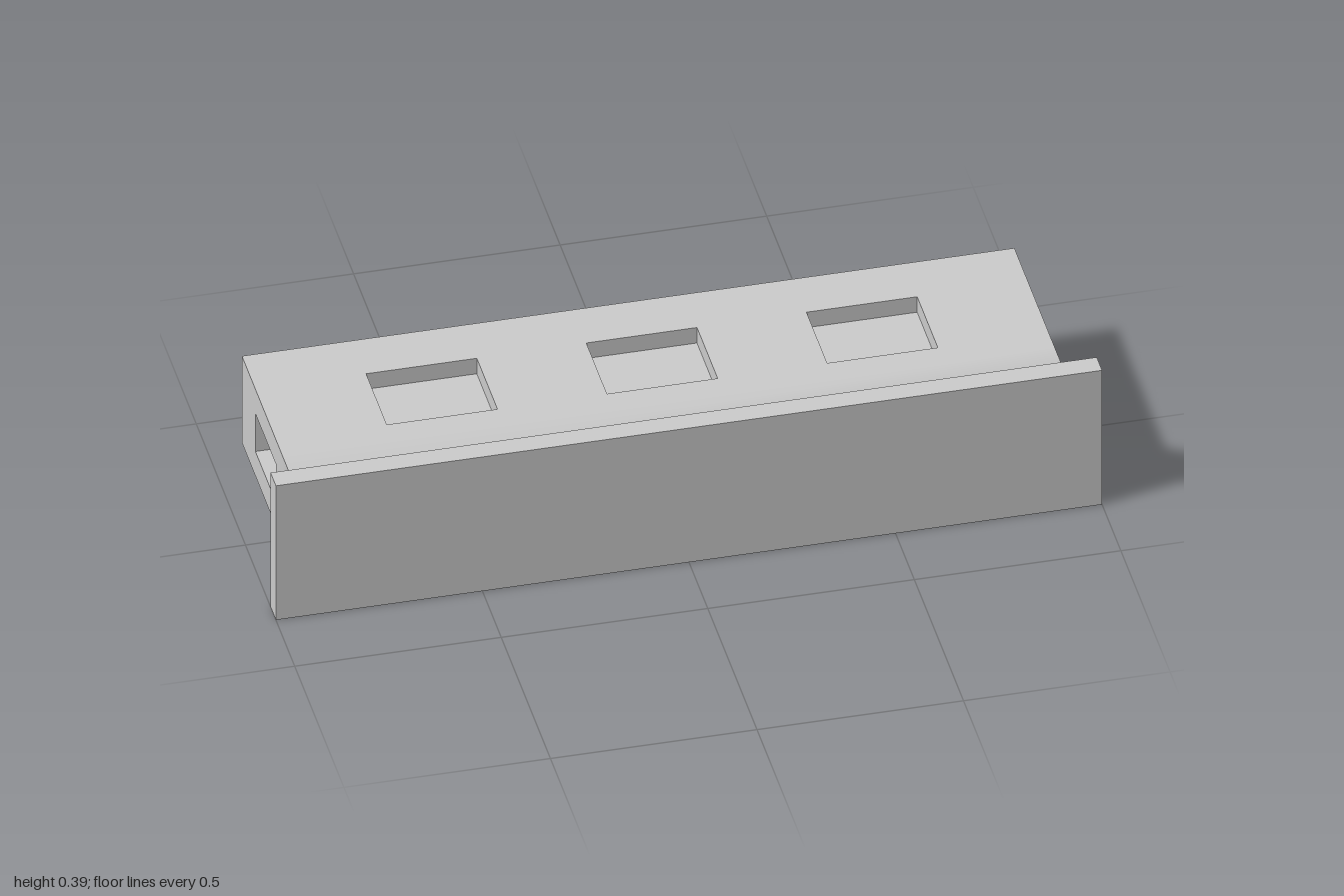
import * as THREE from 'three';
import { mergeGeometries, toCreasedNormals } from 'three/addons/utils/BufferGeometryUtils.js';

const MID_Y = 0.195;               // mid height of the whole piece
const HALF_W = 0.935, HALF_H = 0.126;
const BACK = -0.309, JOIN = 0.1;   // z range of the recessed box section
const LEN = JOIN - BACK, MID_Z = (JOIN + BACK) / 2;
const DEPTH = 0.045;               // recess depth

// Flat panel facing +z with rectangular recesses [u, v, width, height]
function recessedPanel(w, h, recesses) {
  const rect = (path, u, v, a, b) => path
    .moveTo(u - a / 2, v - b / 2).lineTo(u + a / 2, v - b / 2)
    .lineTo(u + a / 2, v + b / 2).lineTo(u - a / 2, v + b / 2).closePath();
  const shape = rect(new THREE.Shape(), 0, 0, w, h);
  const parts = [];
  for (const [u, v, a, b] of recesses) {
    shape.holes.push(rect(new THREE.Path(), u, v, a, b));
    // Inside-out box without its front face
    const box = new THREE.BoxGeometry(a, b, DEPTH);
    const index = Array.from(box.index.array);
    index.splice(24, 6);
    box.setIndex(index);
    box.scale(-1, 1, 1).translate(u, v, -DEPTH / 2);
    const inner = box.toNonIndexed();
    inner.computeVertexNormals();
    parts.push(inner);
  }
  parts.push(new THREE.ShapeGeometry(shape).toNonIndexed());
  return mergeGeometries(parts);
}

// Open sleeve through rectangular rings [z, halfWidth, halfHeight], back to front
function sleeve(rings) {
  const pos = [], index = [];
  for (const [z, a, b] of rings) {
    pos.push(-a, MID_Y - b, z, a, MID_Y - b, z, a, MID_Y + b, z, -a, MID_Y + b, z);
  }
  for (let r = 0; r < rings.length - 1; r++) {
    for (let i = 0; i < 4; i++) {
      const a = r * 4 + i, b = r * 4 + (i + 1) % 4;
      index.push(a, b, b + 4, a, b + 4, a + 4);
    }
  }
  const geo = new THREE.BufferGeometry();
  geo.setAttribute('position', new THREE.Float32BufferAttribute(pos, 3));
  geo.setIndex(index);
  return toCreasedNormals(geo, THREE.MathUtils.degToRad(50));
}

export function createModel() {
  const group = new THREE.Group();
  const material = new THREE.MeshStandardMaterial({ color: 0xcccccc });
  const add = (name, geometry) => {
    const mesh = new THREE.Mesh(geometry, material);
    mesh.name = name;
    group.add(mesh);
    return mesh;
  };

  // Front plate
  add('frontPlate', new THREE.BoxGeometry(2, 0.39, 0.054)).position.set(0, MID_Y, 0.282);

  // Flared neck blending the box section into the plate
  add('flaredNeck', sleeve([
    [JOIN, HALF_W, HALF_H], [0.18, HALF_W, HALF_H], [0.256, 0.988, 0.18],
  ]));

  // Top and bottom panels, three recesses each
  const row = (v, h) => [-0.533, 0, 0.533].map((u) => [u, v, 0.268, h]);
  const shift = -0.067 - MID_Z;    // recess offset towards the front
  for (const s of [1, -1]) {
    const panel = add(s > 0 ? 'topPanel' : 'bottomPanel',
      recessedPanel(HALF_W * 2, LEN, row(-s * shift, 0.21)));
    panel.rotation.x = -s * Math.PI / 2;
    panel.position.set(0, MID_Y + s * HALF_H, MID_Z);
  }

  // End panels, one recess each
  for (const s of [1, -1]) {
    const panel = add(s > 0 ? 'leftPanel' : 'rightPanel',
      recessedPanel(LEN, HALF_H * 2, [[-s * shift, 0, 0.21, 0.11]]));
    panel.rotation.y = s * Math.PI / 2;
    panel.position.set(s * HALF_W, MID_Y, MID_Z);
  }

  // Back panel, three recesses
  const back = add('backPanel', recessedPanel(HALF_W * 2, HALF_H * 2, row(0, 0.11)));
  back.rotation.y = Math.PI;
  back.position.set(0, MID_Y, BACK);

  return group;
}
